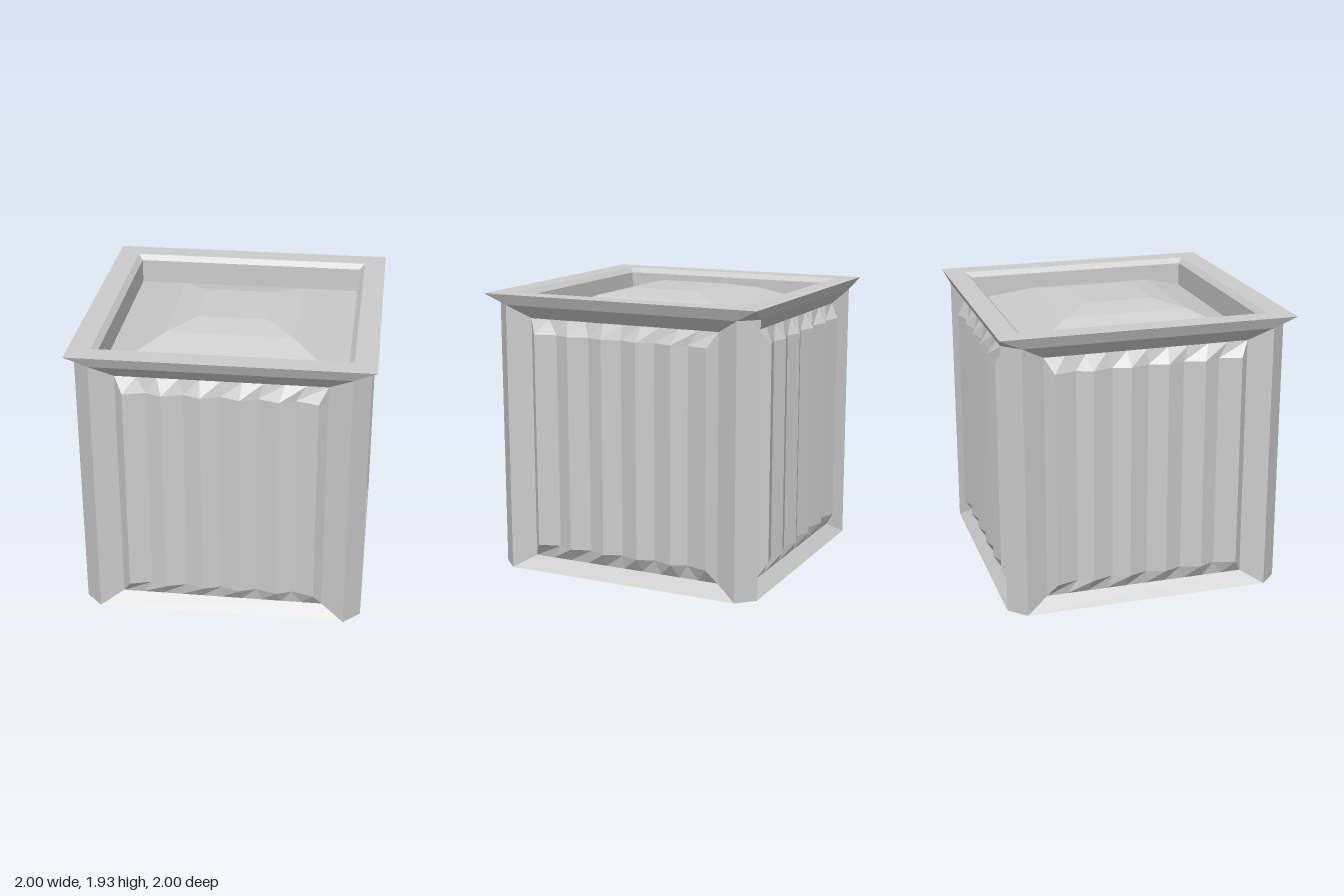
import * as THREE from 'three';

const material = new THREE.MeshStandardMaterial({ color: 0xcccccc, flatShading: true });

// Skin a stack of cross-sections with flat facets; closed rows wrap around.
function skin(name, rows, closed = false) {
  const positions = [];
  const triangle = (a, b, c) => {
    const ab = new THREE.Vector3().subVectors(b, a);
    const ac = new THREE.Vector3().subVectors(c, a);
    if (ab.cross(ac).length() > 1e-7) for (const p of [a, b, c]) positions.push(p.x, p.y, p.z);
  };
  const n = rows[0].length;
  for (let r = 0; r + 1 < rows.length; r++) {
    for (let c = 0; c < (closed ? n : n - 1); c++) {
      const d = (c + 1) % n;
      triangle(rows[r][c], rows[r][d], rows[r + 1][d]);
      triangle(rows[r][c], rows[r + 1][d], rows[r + 1][c]);
    }
  }
  const geometry = new THREE.BufferGeometry();
  geometry.setAttribute('position', new THREE.Float32BufferAttribute(positions, 3));
  geometry.computeVertexNormals();
  const mesh = new THREE.Mesh(geometry, material);
  mesh.name = name;
  return mesh;
}

const v = (x, y, z) => new THREE.Vector3(x, y, z);

// Horizontal square of half-width s; upright rectangle facing +z.
const square = (s, y) => [v(-s, y, s), v(s, y, s), v(s, y, -s), v(-s, y, -s)];
const upright = (s, y0, y1, z) => [v(-s, y0, z), v(s, y0, z), v(s, y1, z), v(-s, y1, z)];

// Horizontal square with cut corners, two points per corner.
const HALF = 0.965, CUT = 0.85;
const octagon = (y) => [
  v(-HALF, y, CUT), v(-CUT, y, HALF), v(CUT, y, HALF), v(HALF, y, CUT),
  v(HALF, y, -CUT), v(CUT, y, -HALF), v(-CUT, y, -HALF), v(-HALF, y, -CUT),
];

const TOP = 1.935, NECK = 1.86;
const PANEL = 0.695, PANEL_LOW = 0.09, PANEL_HIGH = 1.77, PANEL_Z = 0.89;

// Corrugated panel: alternating ridges and valleys, sloping back to the frame on all edges.
function corrugatedPanel() {
  const base = (y) => {
    const row = Array.from({ length: 11 }, (_, i) => v(-PANEL + (i * PANEL) / 5, y, PANEL_Z));
    return [row[0], ...row, row[10]];
  };
  const folds = (y, edgeY) => {
    const row = Array.from({ length: 11 }, (_, i) => {
      const ridge = i % 2 === 0;
      return v((i - 5) * (ridge ? 0.1275 : 0.122), y, ridge ? 0.955 : 0.912);
    });
    // the middle ridges keep an even pitch between the valleys
    return [v(-PANEL, edgeY, PANEL_Z), ...row, v(PANEL, edgeY, PANEL_Z)];
  };
  return skin('corrugatedPanel', [
    base(PANEL_LOW), folds(0.19, PANEL_LOW), folds(1.67, PANEL_HIGH), base(PANEL_HIGH),
  ]);
}

export function createModel() {
  const model = new THREE.Group();
  model.name = 'crate';

  // Four identical sides, each with its frame, panel and corner post
  for (let i = 0; i < 4; i++) {
    const side = new THREE.Group();
    side.name = 'side' + (i + 1);
    side.add(
      skin('panelFrame', [
        upright(CUT, 0, NECK, HALF),
        upright(PANEL, PANEL_LOW, PANEL_HIGH, PANEL_Z),
      ], true),
      corrugatedPanel(),
      skin('cornerPost', [0, NECK].map((y) => [v(CUT, y, HALF), v(HALF, y, CUT)])),
    );
    side.rotation.y = (i * Math.PI) / 2;
    model.add(side);
  }

  // Flat underside
  model.add(skin('base', [octagon(0).map(() => v(0, 0, 0)), octagon(0)], true));

  // Flared lip growing from the cut-corner body to a sharp square
  const flare = square(1, TOP).flatMap((p) => [p, p]);
  model.add(skin('rimFlare', [octagon(NECK), flare], true));

  // Flat rim, small bevel and inner wall
  model.add(skin('rim', [
    square(1, TOP), square(0.85, TOP), square(0.815, 1.9), square(0.815, 1.73),
  ], true));

  // Heaped contents
  model.add(skin('contents', [
    square(0.815, 1.73), square(0.43, 1.89), square(0.24, 1.93), square(0, 1.93),
  ], true));

  return model;
}
